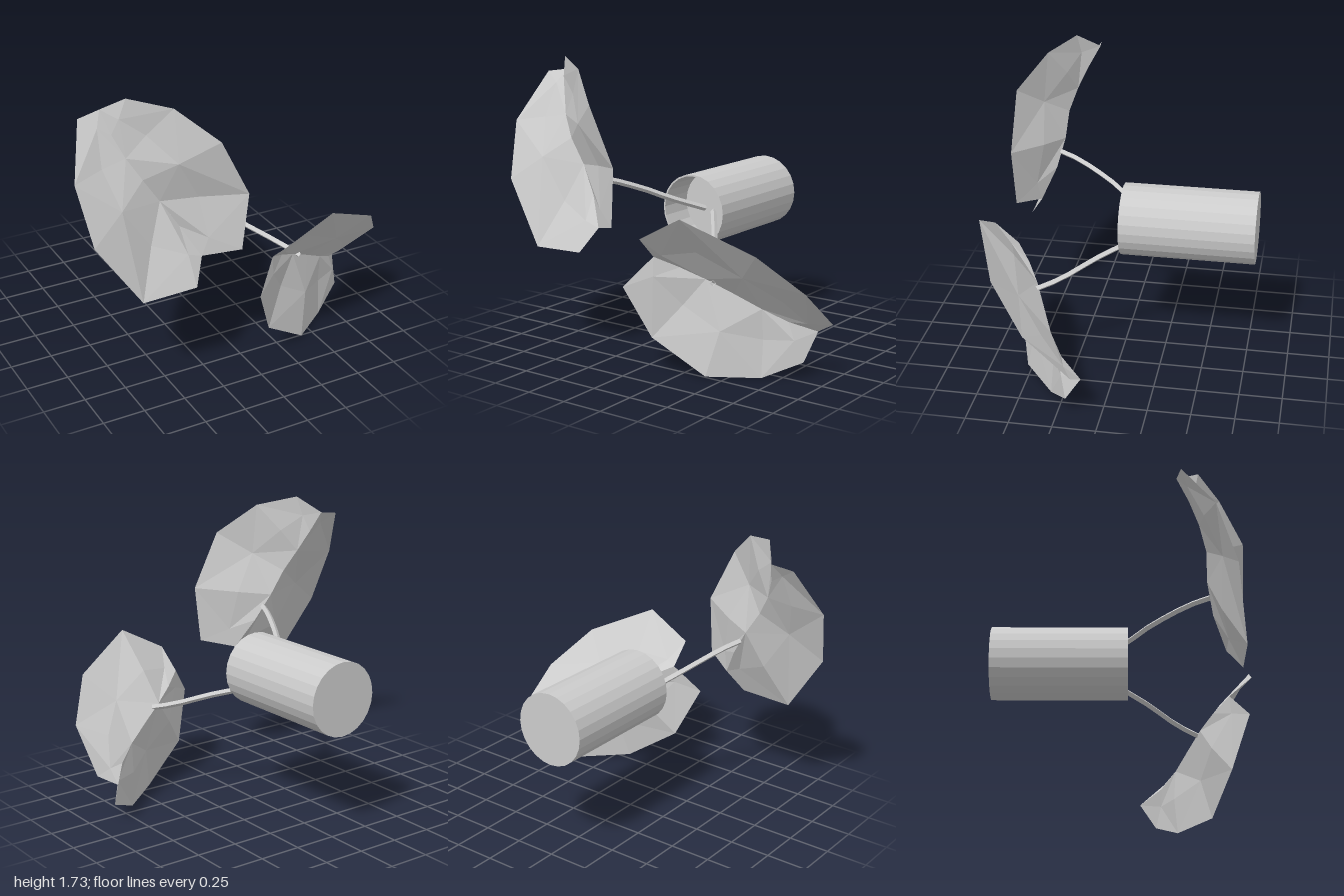
import * as THREE from 'three';

const material = new THREE.MeshStandardMaterial({ color: 0xcccccc, flatShading: true, side: THREE.DoubleSide });
const vec = (p) => new THREE.Vector3(...p);

function addMesh(parent, name, geometry) {
  const mesh = new THREE.Mesh(geometry, material);
  mesh.name = name;
  parent.add(mesh);
  return mesh;
}

// Half a leaf: strips from the midrib through a slightly crumpled middle row to the edge.
function leafHalf(rib, edge) {
  const ribPoints = new THREE.CatmullRomCurve3(rib.map(vec)).getPoints(6);
  const edgePoints = [rib[0], ...edge, rib[rib.length - 1]].map(vec);
  const middle = ribPoints.map((p, i) => {
    const m = p.clone().lerp(edgePoints[i], 0.45);
    if (i > 0 && i < 6) m.z += i % 2 ? 0.012 : -0.015;
    return m;
  });
  const rows = [ribPoints, middle, edgePoints];
  const positions = [];
  const indices = [];
  rows.forEach((row) => row.forEach((p) => positions.push(p.x, p.y, p.z)));
  for (let r = 0; r < 2; r++) {
    for (let i = 0; i < 6; i++) {
      const a = r * 7 + i, b = a + 1, c = a + 7, d = a + 8;
      if ((i + r) % 2) indices.push(a, b, c, b, d, c);
      else indices.push(a, b, d, a, d, c);
    }
  }
  const geometry = new THREE.BufferGeometry();
  geometry.setAttribute('position', new THREE.Float32BufferAttribute(positions, 3));
  geometry.setIndex(indices);
  geometry.computeVertexNormals();
  return geometry;
}

const leaves = [
  {
    name: 'upperLeaf',
    rib: [[-0.76, 1.645, 0.29], [-0.703, 1.455, 0.39], [-0.595, 1.265, 0.46], [-0.45, 1.045, 0.475], [-0.3, 0.785, 0.58]],
    sides: [
      [[-0.895, 1.625, 0.31], [-1, 1.34, 0.49], [-0.95, 1.005, 0.605], [-0.7, 0.636, 0.66], [-0.375, 0.647, 0.665]],
      [[-0.666, 1.737, 0.42], [-0.452, 1.688, 0.555], [-0.249, 1.512, 0.705], [-0.08, 1.175, 0.71], [-0.11, 0.833, 0.695]],
    ],
    stem: [[-0.1, 0.79, -0.2], [-0.22, 0.88, 0.02], [-0.29, 0.935, 0.13], [-0.4, 1.022, 0.36], [-0.45, 1.048, 0.485]],
  },
  {
    name: 'lowerLeaf',
    rib: [[0.13, 0.69, 0.627], [0.27, 0.615, 0.52], [0.42, 0.535, 0.435], [0.6, 0.435, 0.35], [0.75, 0.345, 0.26], [0.887, 0.262, 0.105]],
    sides: [
      [[0.14, 0.817, 0.765], [0.42, 0.967, 0.78], [0.8, 0.785, 0.62], [0.98, 0.56, 0.406], [1, 0.33, 0.14]],
      [[-0.007, 0.518, 0.73], [0.115, 0.22, 0.627], [0.41, 0.02, 0.525], [0.655, 0.005, 0.33], [0.853, 0.1, 0.203]],
    ],
    stem: [[-0.04, 0.78, -0.2], [0.12, 0.708, 0.02], [0.2, 0.665, 0.14], [0.345, 0.585, 0.33], [0.415, 0.545, 0.46]],
  },
];

export function createModel() {
  const model = new THREE.Group();
  model.name = 'pottedPlant';

  // Thin-walled pot lying on its side, filled with soil partway down
  const profile = [[0, -0.78], [0.216, -0.78], [0.216, 0.02], [0.206, 0.02], [0.206, -0.2], [0, -0.2]];
  const pot = addMesh(model, 'pot', new THREE.LatheGeometry(profile.map((p) => new THREE.Vector2(...p)), 24));
  pot.rotation.x = Math.PI / 2;
  pot.position.set(-0.037, 0.822, 0);

  for (const { name, rib, sides, stem } of leaves) {
    // Folded leaf made of two halves meeting at the midrib
    const leaf = new THREE.Group();
    leaf.name = name;
    sides.forEach((edge, i) => addMesh(leaf, i ? 'leafHalfB' : 'leafHalfA', leafHalf(rib, edge)));
    // Square stem rising from the soil
    const curve = new THREE.CatmullRomCurve3(stem.map(vec));
    addMesh(leaf, 'stem', new THREE.TubeGeometry(curve, 8, 0.018, 4));
    model.add(leaf);
  }
  return model;
}
